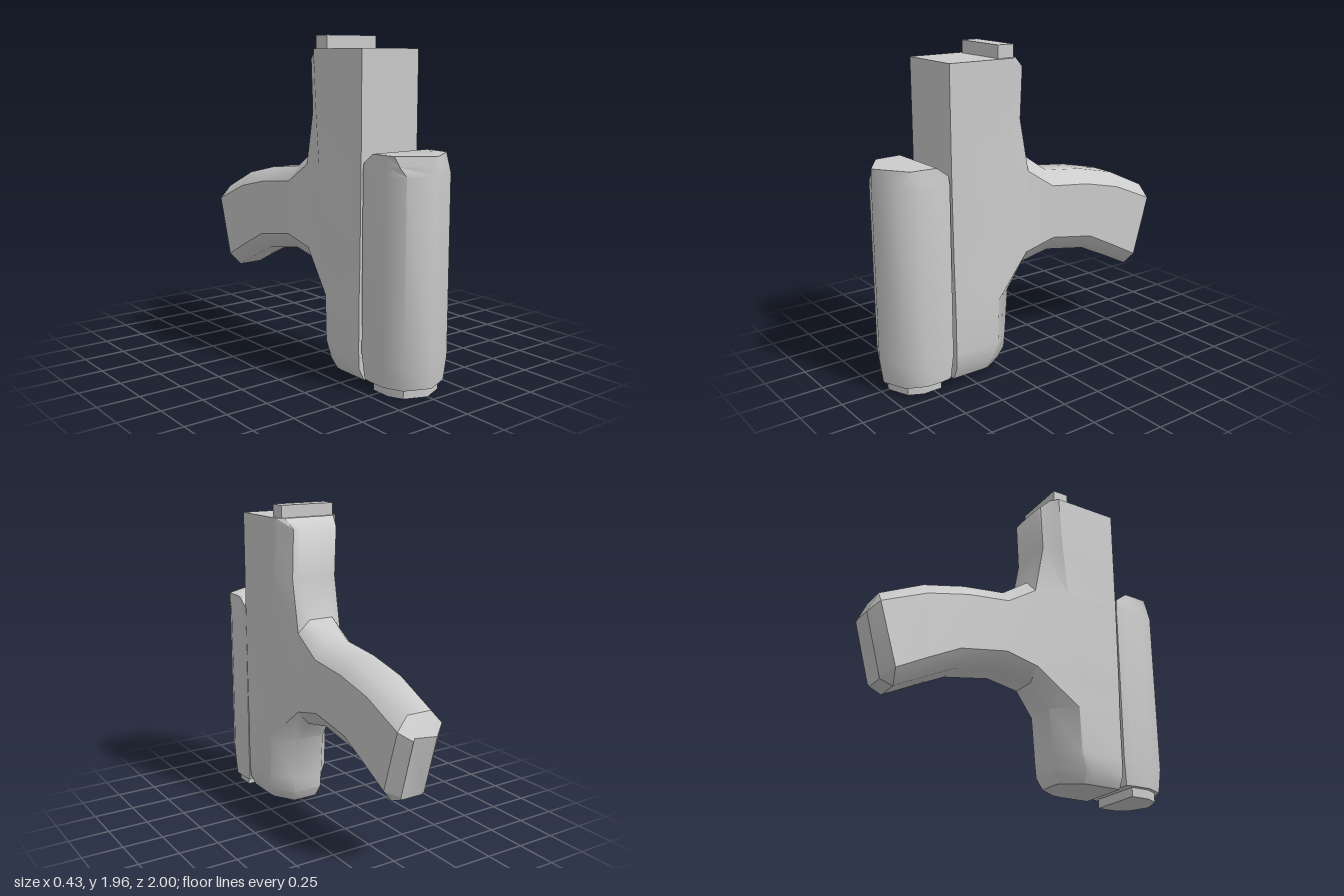
import * as THREE from 'three';
import { toCreasedNormals } from 'three/addons/utils/BufferGeometryUtils.js';

const material = new THREE.MeshStandardMaterial({ color: 0xcccccc });

// Half outline (+x side) closed by its mirror image
const ring = (half) => [...half, ...half.map(([x, y, z]) => [-x, y, z]).reverse()];

// Triangles between successive rings; keep(row, column) chooses the quads
function loft(rings, keep = () => true) {
  const out = [];
  for (let r = 0; r + 1 < rings.length; r++) {
    const a = rings[r], b = rings[r + 1], n = a.length;
    for (let k = 0; k < n; k++) {
      if (!keep(r, k)) continue;
      const m = (k + 1) % n;
      out.push(a[k], b[k], b[m], a[k], b[m], a[m]);
    }
  }
  return out;
}

// Flat fan closing a ring
function cap(points) {
  const out = [];
  for (let i = 1; i + 1 < points.length; i++) out.push(points[0], points[i], points[i + 1]);
  return out;
}

function mesh(name, triangles, crease) {
  const geometry = new THREE.BufferGeometry();
  geometry.setAttribute('position', new THREE.Float32BufferAttribute(triangles.flat(), 3));
  geometry.computeVertexNormals();
  const part = new THREE.Mesh(toCreasedNormals(geometry, crease), material);
  part.name = name;
  return part;
}

// Solid from horizontal sections: [y, [x, z], [x, z], ...], top to bottom
function stack(name, sections, crease) {
  const rings = sections.map(([y, ...pts]) => ring(pts.map(([x, z]) => [x, y, z])));
  const last = rings[rings.length - 1];
  return mesh(name, [...loft(rings), ...cap(rings[0]), ...cap([...last].reverse())], crease);
}

function createBody() {
  const group = new THREE.Group();
  group.name = 'body';

  // Rows run top to bottom: front corner, side line, rear crease, rear edge
  const halves = [
    [[0.205, 1.88, 0.62], [0.21, 1.88, 0.2], [0.17, 1.88, 0.16], [0.1, 1.88, 0.155]],
    [[0.205, 1.82, 0.62], [0.21, 1.82, 0.2], [0.15, 1.82, 0.095], [0.1, 1.82, 0.09]],
    [[0.205, 1.52, 0.62], [0.21, 1.52, 0.22], [0.15, 1.52, 0.11], [0.1, 1.52, 0.105]],
    [[0.205, 1.2, 0.62], [0.21, 1.2, 0.25], [0.15, 1.2, 0.05], [0.08, 1.28, 0.03]],
    [[0.205, 0.7, 0.615], [0.21, 0.7, 0.28], [0.15, 0.7, 0.06], [0.08, 0.615, 0.05]],
    [[0.205, 0.47, 0.61], [0.215, 0.47, 0.34], [0.21, 0.47, 0.31], [0.1, 0.47, 0.17]],
    [[0.205, 0.2, 0.61], [0.215, 0.2, 0.35], [0.21, 0.2, 0.32], [0.1, 0.2, 0.19]],
    [[0.2, 0.1, 0.61], [0.205, 0.1, 0.39], [0.2, 0.1, 0.355], [0.1, 0.1, 0.2]],
    [[0.165, 0.03, 0.61], [0.165, 0.03, 0.4], [0.16, 0.03, 0.36], [0.08, 0.03, 0.23]],
  ];
  const rows = halves.map(ring);
  const HANDLE_ROW = 3;
  const isRim = (k) => k >= 2 && k <= 4;
  const bodySides = loft(rows, (r, k) => !isRim(k));
  const bodyRim = loft(rows, (r, k) => isRim(k) && r !== HANDLE_ROW);

  // Handle sections from the rear end to the body: top edge, top crease, bottom crease, bottom edge
  const section = (t, tc, bc, b) => ring([[0.08, ...t], [0.15, ...tc], [0.15, ...bc], [0.08, ...b]]);
  const top = halves[HANDLE_ROW], bottom = halves[HANDLE_ROW + 1];
  const handle = [
    section([0.95, -0.94], [0.87, -0.95], [0.5, -0.84], [0.42, -0.82]),
    section([1.075, -0.67], [0.99, -0.67], [0.6, -0.65], [0.51, -0.64]),
    section([1.135, -0.41], [1.05, -0.41], [0.7, -0.45], [0.605, -0.44]),
    section([1.165, -0.14], [1.08, -0.14], [0.75, -0.15], [0.655, -0.15]),
    ring([top[3], top[2], bottom[2], bottom[3]]),
  ];
  const isSide = (k) => k === 1 || k === 5;

  // Bevelled rear end of the handle
  const endFace = ring([[0.07, 0.835, -0.995], [0.08, 0.82, -1], [0.08, 0.47, -0.905], [0.07, 0.45, -0.895]]);

  group.add(
    mesh('bodyAndHandleSides', [...bodySides, ...loft(handle, (r, k) => isSide(k))], 0.5),
    mesh('bodyRim', bodyRim, 1),
    mesh('handleRim', loft(handle, (r, k) => !isSide(k)), 1),
    mesh('handleEnd', [...loft([endFace, handle[0]]), ...cap(endFace)], 0.5),
    mesh('bodyTop', cap(rows[0]), 0.5),
    mesh('bodyBottom', cap([...rows[rows.length - 1]].reverse()), 0.5),
  );
  return group;
}

export function createModel() {
  const model = new THREE.Group();
  model.name = 'model';
  model.add(createBody());

  // Raised tab on the body top
  const tab = new THREE.Mesh(new THREE.BoxGeometry(0.36, 0.085, 0.105), material);
  tab.name = 'topTab';
  tab.position.set(0, 1.9125, 0.2325);
  model.add(tab);

  // Separate front block with a pointed nose and bevelled top
  const full = [[0.01, 1], [0.16, 0.935], [0.208, 0.82], [0.21, 0.7], [0.2, 0.63]];
  model.add(stack('frontBlock', [
    [1.325, [0.01, 0.995], [0.19, 0.87], [0.195, 0.8], [0.2, 0.72], [0.2, 0.71]],
    [1.27, [0.01, 0.998], [0.178, 0.9], [0.2, 0.81], [0.203, 0.7], [0.2, 0.637]],
    [1.22, ...full],
    [0.2, ...full],
    [0.055, [0.01, 0.98], [0.15, 0.92], [0.2, 0.81], [0.2, 0.7], [0.19, 0.645]],
  ], 0.85));

  // Foot plate under the front block
  const foot = [[0.01, 0.95], [0.13, 0.9], [0.17, 0.82], [0.17, 0.7]];
  model.add(stack('footPlate', [[0.06, ...foot], [0, ...foot]], 0.5));

  return model;
}
